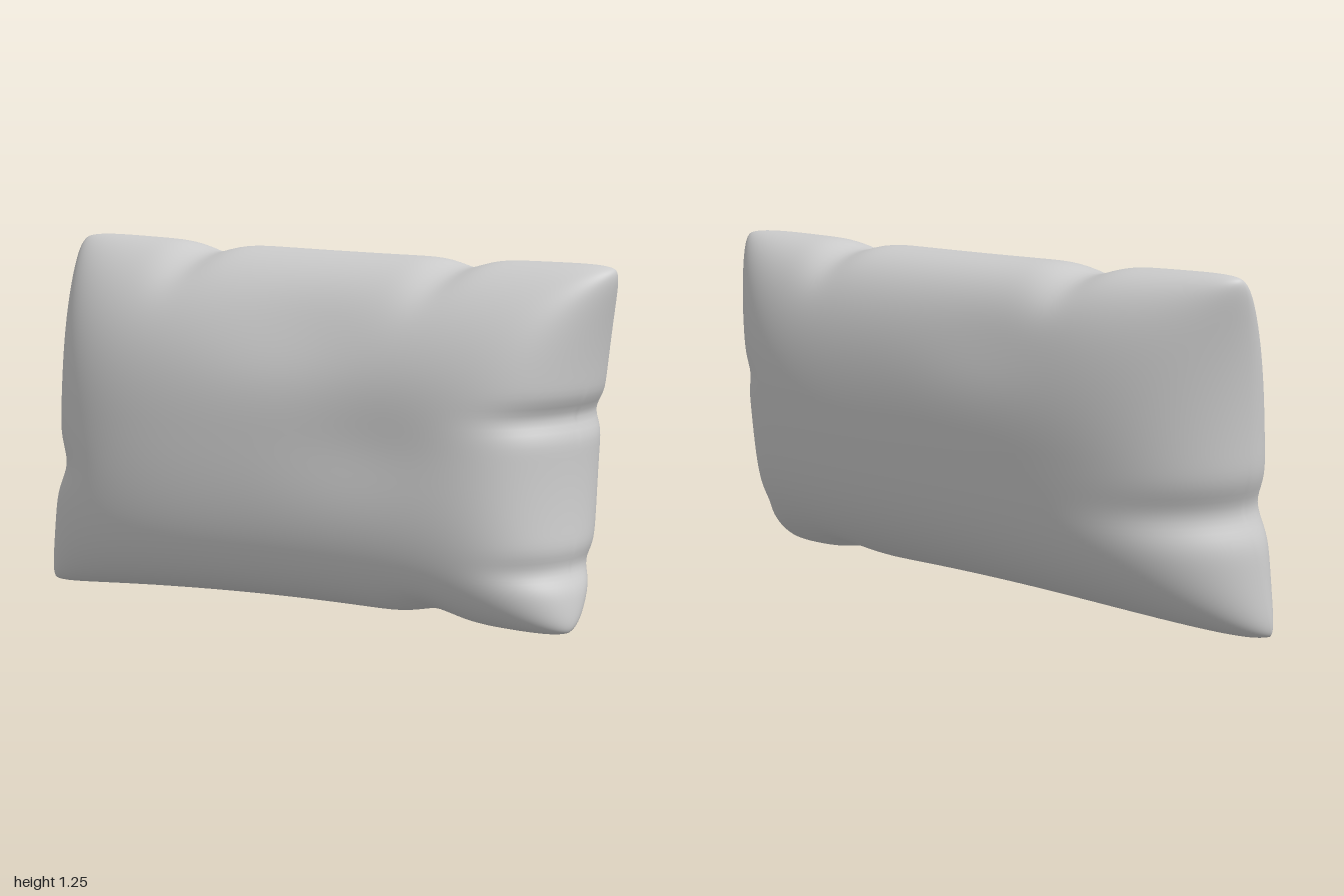
import * as THREE from 'three';
import { mergeVertices } from 'three/addons/utils/BufferGeometryUtils.js';

// u runs back (-1) to front (+1), v runs bottom (-1) to top (+1)
const NU = 120, NV = 90;

// seam corners [x, y, z]
const corners = {
  frontTop: [0.34, 1.238, 1.022],
  frontBottom: [0.13, 0.022, 1.022],
  backTop: [-0.21, 1.26, -1.022],
  backBottom: [-0.43, -0.014, -0.975],
};

// filling of the +x and -x faces: depth, and how squarely it meets each edge
const faces = {
  1: { depth: 0.375, front: 5, back: 5, top: 2.4, bottom: 3.6 },
  [-1]: { depth: 0.322, front: 8, back: 3.4, top: 2.6, bottom: 2.6 },
};

// pinched creases along the seam: edge, position, depth, width, reach into the faces
const creases = [
  { edge: 'top', at: 0.48, depth: 0.03, width: 0.08, reach: 0.2 },
  { edge: 'top', at: -0.46, depth: 0.033, width: 0.09, reach: 0.2 },
  { edge: 'bottom', at: 0.56, depth: 0.03, width: 0.1, reach: 0.15 },
  { edge: 'front', at: 0.18, depth: 0.03, width: 0.08, reach: 0.17 },
  { edge: 'front', at: -0.64, depth: 0.024, width: 0.08, reach: 0.15 },
  { edge: 'back', at: -0.28, depth: 0.042, width: 0.13, reach: 0.28 },
];

// soft hollows in the two faces (side +1 is the +x face)
const hollows = [
  { side: -1, u: 0.1, v: 0.65, depth: 0.03, size: 0.28 },
  { side: -1, u: 0.42, v: 0, depth: 0.02, size: 0.3 },
  { side: 1, u: -0.3, v: 0.6, depth: 0.015, size: 0.25 },
];

const gauss = (d, w) => Math.exp(-(d * d) / (w * w));

function cornerBlend(u, v, k) {
  const s = (u + 1) / 2, t = (v + 1) / 2;
  return s * t * corners.frontTop[k] + s * (1 - t) * corners.frontBottom[k]
    + (1 - s) * t * corners.backTop[k] + (1 - s) * (1 - t) * corners.backBottom[k];
}

function pillowPoint(u, v, side) {
  // the lean is strongest towards the top and bottom seams
  let x = cornerBlend(u, v * (0.6 + 0.4 * v * v), 0);
  let y = cornerBlend(u, v, 1);
  let z = cornerBlend(u, v, 2);

  // seams bow inwards between the corners
  z -= (u > 0 ? 0.078 : 0.055) * u * Math.abs(u) * (1 - v * v);
  y -= (v > 0 ? 0.016 : -0.047) * v * v * (1 - u * u);

  // creases pull the seam in and dent the faces beside it
  let dent = 0;
  for (const c of creases) {
    const alongU = c.edge === 'top' || c.edge === 'bottom';
    const sign = c.edge === 'top' || c.edge === 'front' ? 1 : -1;
    const across = (alongU ? u : v) - c.at;
    const inward = 1 - sign * (alongU ? v : u);
    const pull = sign * c.depth * gauss(across, c.width) * gauss(inward, c.reach);
    if (alongU) y -= pull;
    else z -= pull;
    dent += c.depth * 0.2 * gauss(across, c.width * 2) * gauss(inward, c.reach * 1.5);
  }
  for (const h of hollows) {
    if (h.side === side) dent += h.depth * gauss(Math.hypot(u - h.u, v - h.v), h.size);
  }

  // blunt the corner tips
  const tip = 0.03 * Math.pow(Math.abs(u * v), 16);
  y += (0.62 - y) * tip;
  z -= z * tip;

  // filling: flat in the middle, rounded to the seam
  const f = faces[side];
  const fillU = 1 - Math.abs(u) ** (u > 0 ? f.front : f.back);
  const fillV = 1 - Math.abs(v) ** (v > 0 ? f.top : f.bottom);
  x += side * Math.sqrt(Math.max(0, fillU * fillV)) * (f.depth - dent);
  return [x, y, z];
}

function pillowGeometry() {
  const positions = [], index = [];
  for (const side of [1, -1]) {
    const base = positions.length / 3;
    for (let i = 0; i <= NU; i++) {
      for (let j = 0; j <= NV; j++) {
        // sine spacing packs rows near the rounded seam
        const u = Math.sin((i / NU - 0.5) * Math.PI);
        const v = Math.sin((j / NV - 0.5) * Math.PI);
        positions.push(...pillowPoint(u, v, side));
        if (i === NU || j === NV) continue;
        const a = base + i * (NV + 1) + j, b = a + 1, c = a + NV + 1, d = c + 1;
        if (side > 0) index.push(a, b, c, b, d, c);
        else index.push(a, c, b, b, c, d);
      }
    }
  }
  const geometry = new THREE.BufferGeometry();
  geometry.setAttribute('position', new THREE.Float32BufferAttribute(positions, 3));
  geometry.setIndex(index);
  const welded = mergeVertices(geometry, 1e-5);
  welded.computeVertexNormals();
  return welded;
}

export function createModel() {
  const group = new THREE.Group();
  group.name = 'pillow';
  const cushion = new THREE.Mesh(
    pillowGeometry(),
    new THREE.MeshStandardMaterial({ color: 0xcccccc }),
  );
  cushion.name = 'cushion';
  // rest the lowest corner on the ground
  cushion.geometry.computeBoundingBox();
  cushion.position.y = -cushion.geometry.boundingBox.min.y;
  group.add(cushion);
  return group;
}
